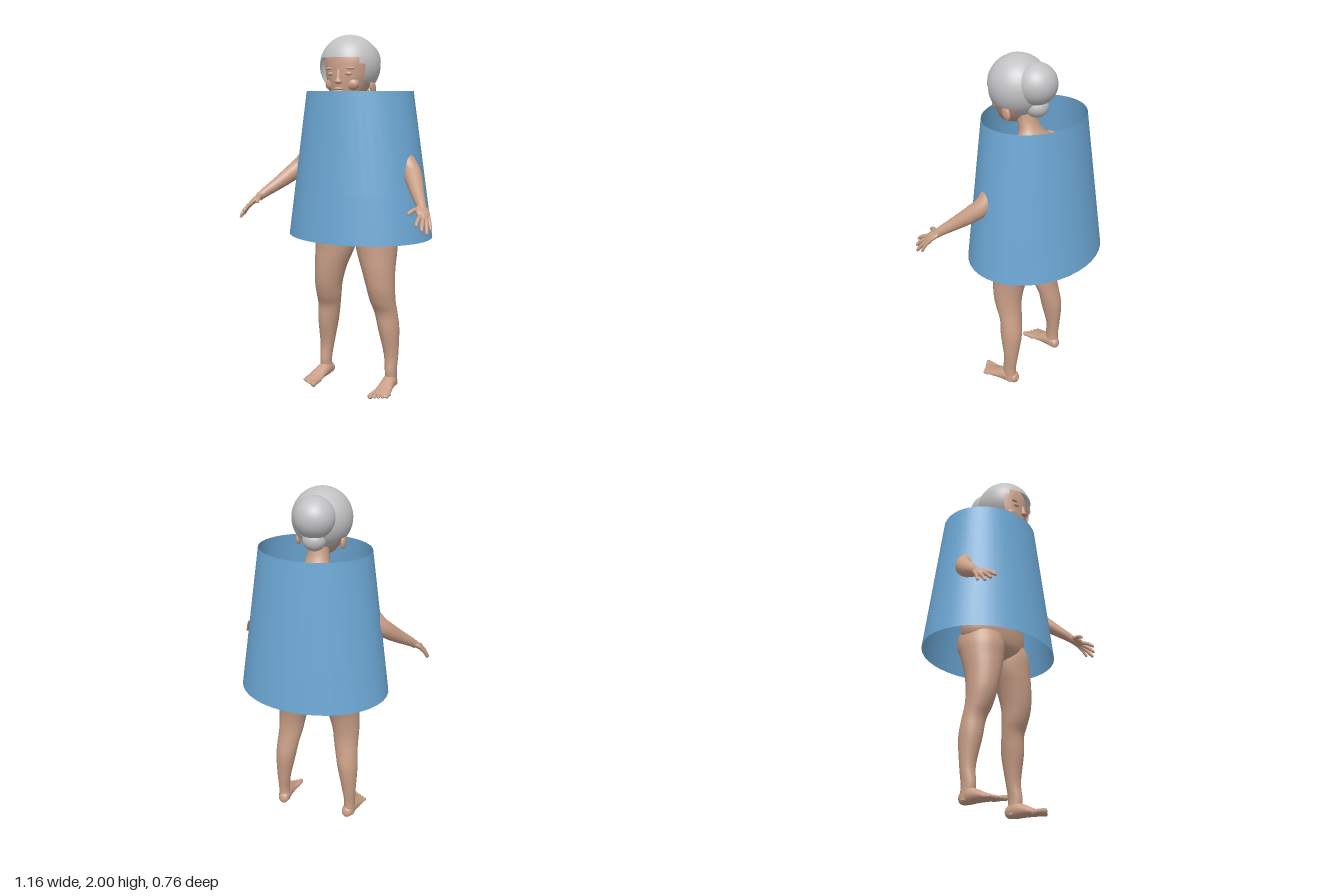
import * as THREE from 'three';

const skin = new THREE.MeshStandardMaterial({ color: 0xc99f87 });
skin.name = 'skin';
const hair = new THREE.MeshStandardMaterial({ color: 0xc2c2c4, side: THREE.DoubleSide });
hair.name = 'grey hair';
const cloth = new THREE.MeshStandardMaterial({ color: 0x6ca7d4, side: THREE.DoubleSide });
cloth.name = 'blue cloth';

const X = new THREE.Vector3(1, 0, 0), Y = new THREE.Vector3(0, 1, 0), Z = new THREE.Vector3(0, 0, 1);

// Smooth skin through rows of [x, y, z, radiusU, radiusV]; without axes the rings follow the path
function loft(rows, axes, sides = 24, steps = 5) {
  const path = new THREE.CatmullRomCurve3(rows.map(r => new THREE.Vector3(r[0], r[1], r[2])), false, 'catmullrom');
  const size = new THREE.CatmullRomCurve3(rows.map(r => new THREE.Vector3(r[3], r[4] ?? r[3], 0)), false, 'catmullrom');
  const ref = new THREE.Vector3(rows[0][0] < 0 ? -1 : 1, 1, 0);
  const n = (rows.length - 1) * steps, pos = [], index = [];
  for (let i = 0; i <= n; i++) {
    const c = path.getPoint(i / n), r = size.getPoint(i / n);
    let [U, V] = axes ?? [];
    if (!axes) {
      const T = path.getTangent(i / n);
      U = ref.clone().cross(T).normalize();
      V = T.clone().cross(U);
    }
    for (let j = 0; j < sides; j++) {
      const a = j / sides * Math.PI * 2;
      const p = c.clone().addScaledVector(U, Math.max(r.x, 0.001) * Math.cos(a))
        .addScaledVector(V, Math.max(r.y, 0.001) * Math.sin(a));
      pos.push(p.x, p.y, p.z);
      if (i < n) {
        const k = i * sides + j, m = i * sides + (j + 1) % sides;
        index.push(k, m, k + sides, m, m + sides, k + sides);
      }
    }
  }
  const g = new THREE.BufferGeometry();
  g.setAttribute('position', new THREE.Float32BufferAttribute(pos, 3));
  g.setIndex(index);
  g.computeVertexNormals();
  return g;
}

function add(parent, name, geometry, material = skin) {
  const mesh = new THREE.Mesh(geometry, material);
  mesh.name = name;
  parent.add(mesh);
  return mesh;
}

function ball(parent, name, centre, radii, material = skin) {
  const mesh = add(parent, name, new THREE.SphereGeometry(1, 32, 24), material);
  mesh.position.set(...centre);
  mesh.scale.set(...radii);
  return mesh;
}

export function createModel() {
  const model = new THREE.Group();
  model.name = 'robedFigure';
  const upright = [Z, X], forward = [X, Y];

  // Stiff open robe
  add(model, 'robe', loft([[0, 0.885, -0.03, 0.35, 0.427], [0, 1.7, -0.025, 0.26, 0.31]], upright, 40, 2), cloth);

  // Torso and neck
  add(model, 'torso', loft([
    [0, 0.83, 0, 0.04, 0.03], [0, 0.88, 0.005, 0.115, 0.19], [0, 0.95, 0, 0.14, 0.245],
    [0, 1.05, 0, 0.14, 0.235], [0, 1.2, 0.01, 0.13, 0.2], [0, 1.35, 0.01, 0.13, 0.185],
    [0, 1.48, -0.015, 0.115, 0.18], [0, 1.55, -0.015, 0.085, 0.13], [0, 1.6, 0, 0.06, 0.075],
    [0, 1.66, 0.025, 0.055, 0.06], [0, 1.76, 0.05, 0.06, 0.06]], upright));

  // Head and face
  const head = new THREE.Group();
  head.name = 'head';
  model.add(head);
  add(head, 'face', loft([
    [0, 1.622, 0.14, 0.005, 0.005], [0, 1.64, 0.135, 0.07, 0.05], [0, 1.68, 0.11, 0.103, 0.085],
    [0, 1.74, 0.095, 0.124, 0.115], [0, 1.8, 0.09, 0.13, 0.13], [0, 1.87, 0.085, 0.13, 0.135],
    [0, 1.93, 0.085, 0.11, 0.11], [0, 1.965, 0.085, 0.07, 0.07], [0, 1.98, 0.085, 0.005, 0.005]], upright, 32));
  add(head, 'nose', loft([
    [0, 1.735, 0.215, 0.005, 0.004], [0, 1.745, 0.22, 0.02, 0.022], [0, 1.765, 0.216, 0.018, 0.015],
    [0, 1.8, 0.212, 0.013, 0.012], [0, 1.83, 0.208, 0.005, 0.008]], upright, 16));
  for (const y of [1.698, 1.711]) ball(head, 'lip', [0, y, 0.218], [0.03, 0.009, 0.015]);

  // Hair cap: dome in angular sectors, each [start, end, lower edge height] measured from the front
  const dome = (from, to, bottom) => {
    const g = new THREE.SphereGeometry(0.165, 20, 24, Math.PI / 2 + from, to - from, 0, Math.acos((bottom - 1.835) / 0.165));
    add(head, 'hairCap', g, hair).position.set(0, 1.835, 0.085);
  };
  dome(-0.8, 0.8, 1.875);
  dome(2.1, Math.PI * 2 - 2.1, 1.7);
  for (const [a, b, y] of [[0.8, 1.0, 1.84], [1.0, 2.1, 1.745]]) {
    dome(a, b, y);
    dome(-b, -a, y);
  }
  ball(head, 'bun', [0, 1.863, -0.033], [0.114, 0.112, 0.114], hair);
  ball(head, 'lowerBun', [0, 1.745, -0.038], [0.064, 0.06, 0.064], hair);

  for (const s of [1, -1]) {
    const side = s > 0 ? 'left' : 'right';
    const flip = rows => rows.map(([x, ...rest]) => [x * s, ...rest]);

    // Eyes, brows, cheeks and ears
    ball(head, side + 'Eye', [s * 0.05, 1.79, 0.204], [0.024, 0.011, 0.013]);
    ball(head, side + 'Brow', [s * 0.053, 1.818, 0.2], [0.036, 0.009, 0.013]);
    ball(head, side + 'Cheek', [s * 0.055, 1.735, 0.175], [0.045, 0.035, 0.03]);
    ball(head, side + 'Ear', [s * 0.128, 1.72, 0.065], [0.014, 0.04, 0.026]).rotation.x = 0.3;

    // Leg and buttock
    add(model, side + 'Leg', loft(flip([
      [0.215, 0.02, -0.012, 0.038, 0.036], [0.217, 0.1, -0.002, 0.042, 0.033], [0.213, 0.2, -0.012, 0.043, 0.042],
      [0.2, 0.35, -0.006, 0.065, 0.06], [0.187, 0.45, 0.005, 0.063, 0.067], [0.177, 0.52, 0.026, 0.074, 0.073],
      [0.17, 0.6, 0.04, 0.086, 0.08], [0.155, 0.7, 0.038, 0.1, 0.093], [0.137, 0.8, 0.022, 0.118, 0.113],
      [0.128, 0.88, 0.01, 0.13, 0.12], [0.12, 0.95, 0, 0.12, 0.11]]), upright));
    ball(model, side + 'Buttock', [s * 0.105, 0.91, -0.052], [0.108, 0.115, 0.095]);

    // Foot and toes
    add(model, side + 'Foot', loft(flip([
      [0.21, 0.035, -0.058, 0.004, 0.004], [0.21, 0.037, -0.047, 0.028, 0.03], [0.215, 0.045, 0, 0.037, 0.045],
      [0.22, 0.036, 0.06, 0.042, 0.034], [0.224, 0.024, 0.11, 0.048, 0.022], [0.227, 0.016, 0.155, 0.047, 0.014],
      [0.228, 0.014, 0.172, 0.03, 0.006]]), forward));
    for (let i = 0; i < 5; i++) {
      const x = 0.186 + 0.0205 * i, z = 0.212 - 0.011 * i, r = i ? 0.0105 : 0.015;
      add(model, side + 'Toe', loft(flip([
        [x + 0.003, 0.018, 0.125, r], [x, 0.017, z - 0.025, r * 0.95], [x, 0.014, z - 0.008, r], [x, 0.012, z, 0.001]]), null, 10, 3));
    }

    // Arm
    add(model, side + 'Arm', loft(flip([
      [0.1, 1.5, -0.01, 0.03], [0.165, 1.48, 0, 0.062], [0.25, 1.4, 0.018, 0.054], [0.342, 1.288, 0.04, 0.049],
      [0.385, 1.235, 0.085, 0.047], [0.435, 1.178, 0.155, 0.037], [0.485, 1.127, 0.222, 0.027],
      [0.51, 1.098, 0.255, 0.022]])));

    // Palm, turned so its width runs from little finger to index
    const palm = ball(model, side + 'Palm', [s * 0.516, 1.092, 0.268], [0.038, 0.054, 0.017]);
    const along = new THREE.Vector3(s * 0.05, -0.065, 0.08).normalize();
    const normal = new THREE.Vector3(-s * 0.04, 0.01, 0.04).cross(along).normalize();
    palm.quaternion.setFromRotationMatrix(new THREE.Matrix4().makeBasis(along.clone().cross(normal), along, normal));

    // Fingers from little finger to index, then the thumb: [knuckle, tip, radius]
    const fingers = [
      [[0.545, 1.072, 0.263], [0.577, 1.005, 0.302], 0.009],
      [[0.539, 1.07, 0.278], [0.573, 0.992, 0.345], 0.0105],
      [[0.529, 1.072, 0.292], [0.552, 1.01, 0.366], 0.011],
      [[0.517, 1.078, 0.3], [0.525, 1.036, 0.377], 0.0105],
      [[0.498, 1.107, 0.255], [0.461, 1.086, 0.335], 0.012],
    ];
    for (const [k, t, r] of fingers) {
      const at = f => k.map((v, i) => v + (t[i] - v) * f);
      const mid = at(0.55);
      mid[1] += 0.006;
      add(model, side + 'Finger', loft(flip([[...at(-0.25), r], [...k, r * 1.15], [...mid, r], [...at(0.92), r * 0.8], [...t, 0.001]]), null, 10, 3));
    }
  }
  return model;
}
